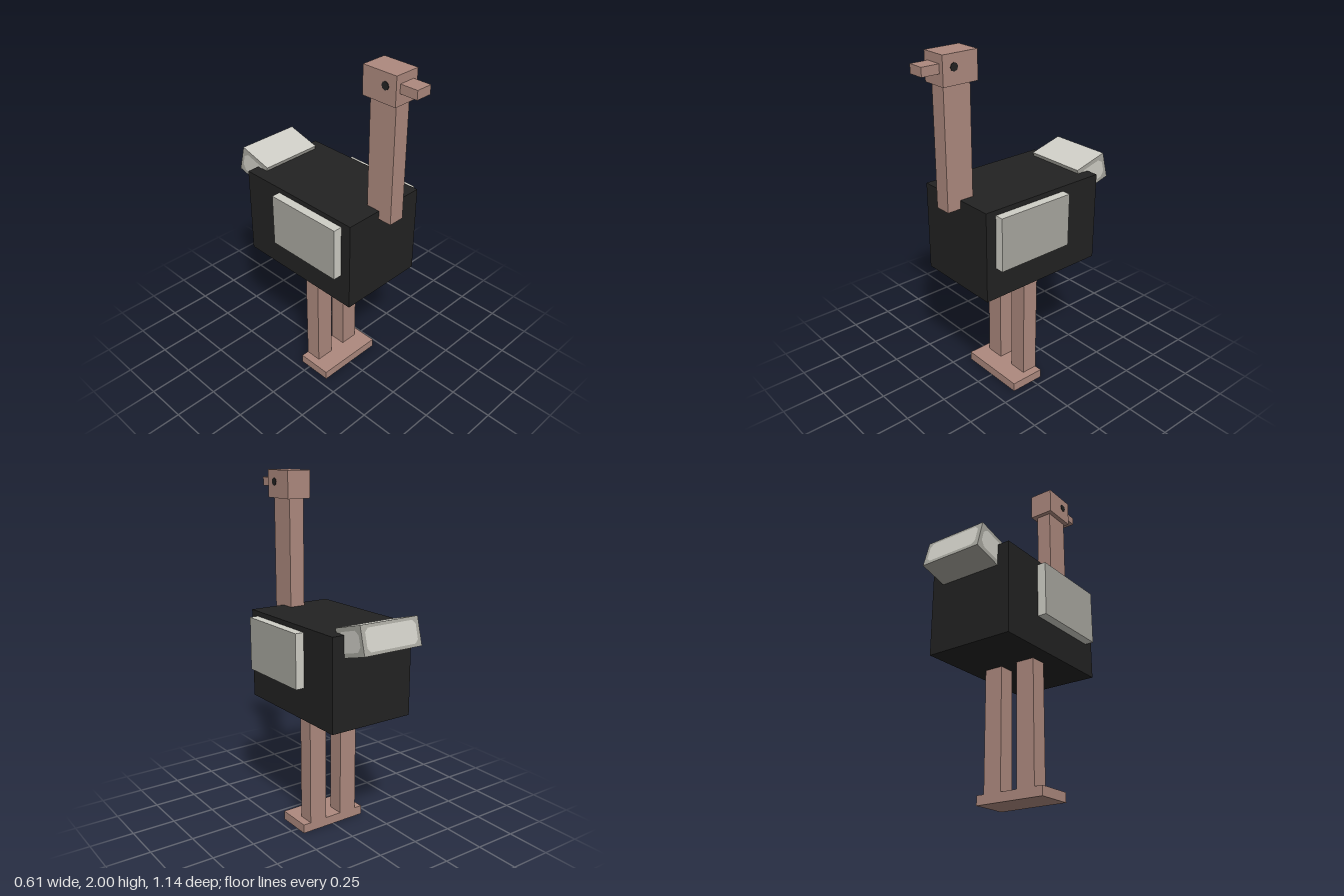
import * as THREE from 'three';

const flat = (name, color) => {
  const m = new THREE.MeshStandardMaterial({ color });
  m.name = name;
  return m;
};

export function createModel() {
  const skin = flat('skin', 0xad897e);
  const black = flat('blackPlumage', 0x222222);
  const light = flat('lightFeather', 0xcfcec6);
  const grey = flat('greyFeather', 0xa8a79f);

  const bird = new THREE.Group();
  bird.name = 'longNeckedBird';

  // Box given by its lower and upper corners
  const box = (name, mat, [x0, y0, z0], [x1, y1, z1]) => {
    const mesh = new THREE.Mesh(new THREE.BoxGeometry(x1 - x0, y1 - y0, z1 - z0), mat);
    mesh.position.set((x0 + x1) / 2, (y0 + y1) / 2, (z0 + z1) / 2);
    mesh.name = name;
    bird.add(mesh);
    return mesh;
  };

  box('body', black, [-0.255, 0.725, -0.407], [0.255, 1.235, 0.373]);
  box('neck', skin, [-0.046, 1.187, 0.292], [0.046, 1.85, 0.452]);
  box('head', skin, [-0.073, 1.846, 0.265], [0.073, 2, 0.47]);
  box('beak', skin, [-0.046, 1.907, 0.47], [0.046, 1.955, 0.57]);
  box('feet', skin, [-0.205, 0, -0.063], [0.205, 0.052, 0.145]);

  // Paired legs, wings and eyes
  for (const s of [-1, 1]) {
    const side = s > 0 ? 'left' : 'right';
    const cx = s * 0.104;
    box(side + 'Leg', skin, [cx - 0.054, 0.05, -0.063], [cx + 0.054, 0.73, 0.033]);

    // Wing: grey outer face, light edges
    const wingMats = [s > 0 ? grey : light, s < 0 ? grey : light, light, light, light, light];
    const wx = s * 0.28;
    box(side + 'Wing', wingMats, [wx - 0.025, 0.905, -0.152], [wx + 0.025, 1.207, 0.312]);

    const eye = new THREE.Mesh(new THREE.CylinderGeometry(0.022, 0.022, 0.004, 8), black);
    eye.rotation.z = Math.PI / 2;
    eye.position.set(s * 0.074, 1.935, 0.405);
    eye.name = side + 'Eye';
    bird.add(eye);
  }

  // Tilted tail: light top, grey elsewhere, with light patches
  const [w, h, d] = [0.366, 0.155, 0.207];
  const tail = new THREE.Group();
  tail.name = 'tail';
  tail.position.set(0, 1.208, -0.45);
  tail.rotation.x = THREE.MathUtils.degToRad(15);
  const block = new THREE.Mesh(new THREE.BoxGeometry(w, h, d), [grey, grey, light, grey, grey, grey]);
  block.name = 'tailBlock';
  tail.add(block);

  // Patch with clipped corners, facing +z before turning
  const patch = (name, pw, ph, c) => {
    const a = pw / 2, b = ph / 2;
    const pts = [[-a + c, -b], [a - c, -b], [a, -b + c], [a, b - c], [a - c, b], [-a + c, b], [-a, b - c], [-a, -b + c]];
    const mesh = new THREE.Mesh(new THREE.ShapeGeometry(new THREE.Shape(pts.map(p => new THREE.Vector2(...p)))), light);
    mesh.name = name;
    tail.add(mesh);
    return mesh;
  };
  const back = patch('tailBackPatch', w * 0.88, h * 0.78, 0.02);
  back.rotation.y = Math.PI;
  back.position.z = -d / 2 - 0.002;
  for (const s of [-1, 1]) {
    const p = patch(s > 0 ? 'tailLeftPatch' : 'tailRightPatch', d * 0.8, h * 0.7, 0.025);
    p.rotation.y = s * Math.PI / 2;
    p.position.x = s * (w / 2 + 0.002);
  }
  bird.add(tail);

  return bird;
}
